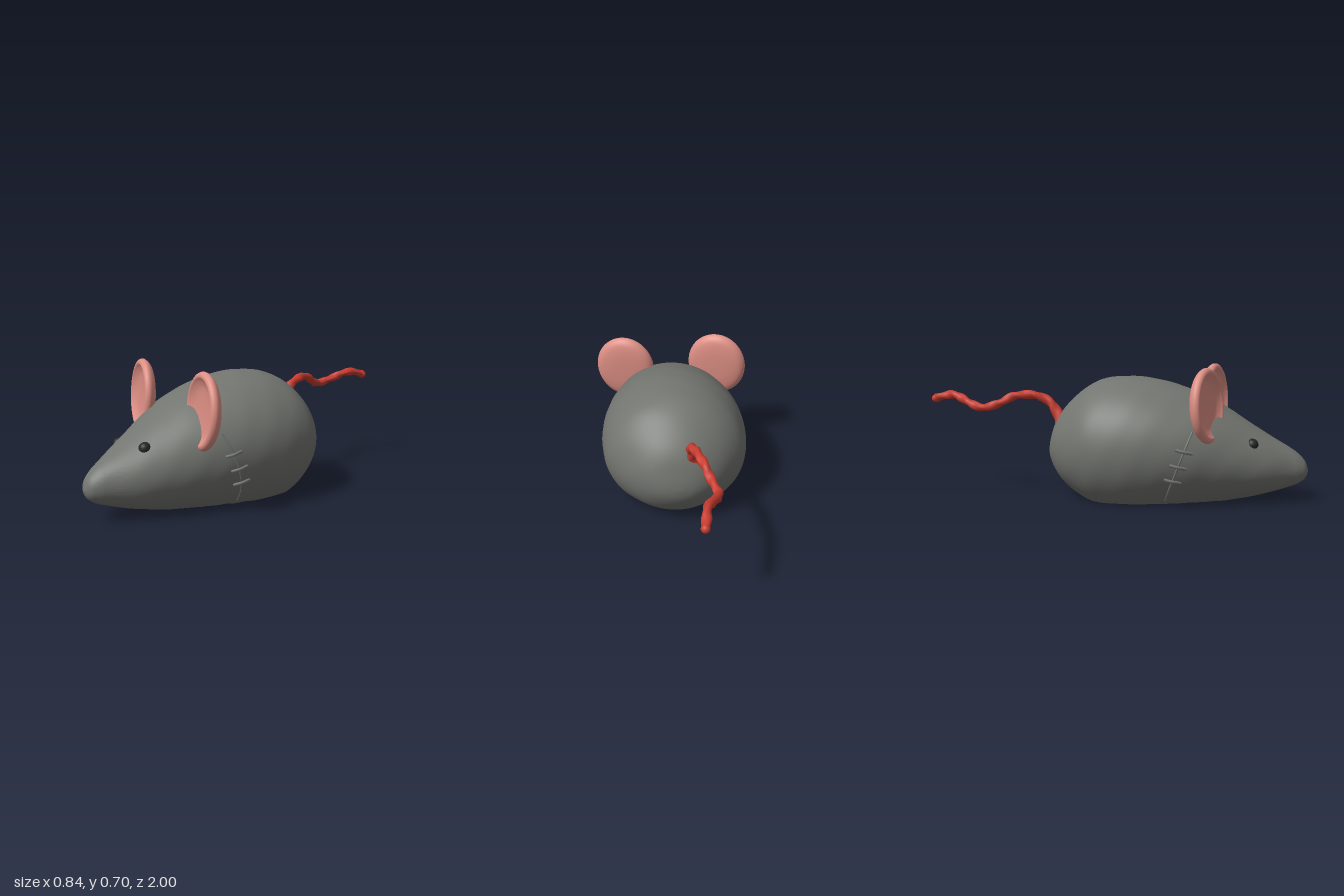
import * as THREE from 'three';
import { toCreasedNormals } from 'three/addons/utils/BufferGeometryUtils.js';

const V3 = (x, y, z) => new THREE.Vector3(x, y, z);
const material = (name, color) => {
  const m = new THREE.MeshStandardMaterial({ color });
  m.name = name;
  return m;
};

// Body stations from nose to rump: z, top, bottom (cut flat at the floor), half width
const STATIONS = [
  [1.0, 0.157, 0.157, 0], [0.985, 0.205, 0.12, 0.04], [0.95, 0.245, 0.092, 0.07],
  [0.9, 0.28, 0.072, 0.1], [0.8, 0.338, 0.04, 0.165], [0.7, 0.4, 0.015, 0.215],
  [0.6, 0.465, -0.005, 0.26], [0.5, 0.525, -0.02, 0.302], [0.4, 0.567, -0.035, 0.338],
  [0.25, 0.612, -0.06, 0.373], [0.1, 0.632, -0.08, 0.389], [-0.05, 0.62, -0.07, 0.375],
  [-0.15, 0.575, -0.02, 0.335], [-0.25, 0.487, 0.045, 0.25], [-0.31, 0.405, 0.115, 0.17],
  [-0.345, 0.305, 0.18, 0.085], [-0.356, 0.238, 0.238, 0],
];
const [topLine, bottomLine, widthLine] = [1, 2, 3].map(
  (k) => new THREE.SplineCurve(STATIONS.map((s) => new THREE.Vector2(s[0], s[k]))));

function section(t) {
  const top = topLine.getPoint(t), bottom = bottomLine.getPoint(t).y;
  return { z: top.x, mid: (top.y + bottom) / 2, half: (top.y - bottom) / 2, width: widthLine.getPoint(t).y };
}

// Point on the flank of the body at a given z and height
function flank(side, y, z) {
  let lo = 0, hi = 1;
  for (let i = 0; i < 30; i++) {
    const m = (lo + hi) / 2;
    if (section(m).z > z) lo = m; else hi = m;
  }
  const s = section(lo);
  const k = THREE.MathUtils.clamp((y - s.mid) / s.half, -1, 1);
  return V3(side * s.width * Math.sqrt(1 - k * k), y, z);
}

function bodyGeometry() {
  const rings = 96, sides = 96, pos = [], index = [];
  for (let i = 0; i <= rings; i++) {
    const s = section(i / rings);
    for (let j = 0; j < sides; j++) {
      const a = (j / sides) * Math.PI * 2;
      // Gentle lumps of stuffed cloth
      const lump = 1 + 0.004 * Math.sin(a * 5 + s.z * 17) * Math.sin(s.z * 23 + a * 2);
      pos.push(s.width * lump * Math.cos(a), Math.max(0, s.mid + s.half * lump * Math.sin(a)), s.z);
    }
  }
  for (let i = 0; i < rings; i++) {
    for (let j = 0; j < sides; j++) {
      const a = i * sides + j, b = i * sides + (j + 1) % sides;
      index.push(a, a + sides, b, b, a + sides, b + sides);
    }
  }
  const g = new THREE.BufferGeometry();
  g.setAttribute('position', new THREE.Float32BufferAttribute(pos, 3));
  g.setIndex(index);
  return toCreasedNormals(g, 0.5);
}

// Dished round ear facing +z, unit radius
function earGeometry() {
  const profile = new THREE.SplineCurve([
    [0, -0.22], [0.5, -0.2], [0.85, -0.12], [1, 0.04], [0.98, 0.17],
    [0.88, 0.22], [0.77, 0.15], [0.6, 0.08], [0.3, 0.05], [0, 0.04],
  ].map((p) => new THREE.Vector2(...p))).getPoints(45);
  profile[0].x = profile[45].x = 0;
  return new THREE.LatheGeometry(profile, 56).rotateX(Math.PI / 2);
}

// Tapering, uneven yarn tube
function tailGeometry(curve) {
  const rings = 90, sides = 12;
  const g = new THREE.TubeGeometry(curve, rings, 1, sides, false);
  const p = g.attributes.position, v = V3();
  for (let i = 0; i <= rings; i++) {
    const t = i / rings, c = curve.getPointAt(t);
    for (let j = 0; j <= sides; j++) {
      const a = (j / sides) * Math.PI * 2;
      const r = 0.021 + 0.014 * Math.exp(-t * 9) + 0.003 * Math.sin(a * 2 + t * 55);
      const n = i * (sides + 1) + j;
      v.fromBufferAttribute(p, n).sub(c).multiplyScalar(r).add(c);
      p.setXYZ(n, v.x, v.y, v.z);
    }
  }
  g.computeVertexNormals();
  return g;
}

export function createModel() {
  const grey = material('greyFelt', 0x737570);
  const pink = material('pinkFelt', 0xdd8f84);
  const red = material('redYarn', 0xc83c30);
  const black = material('blackBead', 0x262626);

  const model = new THREE.Group();
  model.name = 'toyMouse';
  const add = (name, geometry, mat, parent = model) => {
    const mesh = new THREE.Mesh(geometry, mat);
    mesh.name = name;
    parent.add(mesh);
    return mesh;
  };

  add('body', bodyGeometry(), grey);

  // Ears, both turned the same way
  const earShape = earGeometry();
  for (const [name, x, y, z, turn] of [
    ['leftEar', 0.258, 0.5, 0.495, -0.27], ['rightEar', -0.261, 0.512, 0.485, -0.34]]) {
    const ear = add(name, earShape, pink);
    ear.position.set(x, y, z);
    ear.rotation.set(-0.07, turn, 0);
    ear.scale.set(0.164, 0.184, 0.165);
  }

  // Bead eyes
  const bead = new THREE.SphereGeometry(0.03, 24, 16);
  add('leftEye', bead, black).position.set(0.107, 0.335, 0.735);
  add('rightEye', bead, black).position.set(-0.152, 0.311, 0.715);

  // Sewn seam with cross stitches on each flank
  for (const side of [1, -1]) {
    const seam = new THREE.Group();
    seam.name = side > 0 ? 'leftSeam' : 'rightSeam';
    model.add(seam);
    const seamZ = (y) => 0.28 + 0.38 * y;
    const line = [0.03, 0.09, 0.15, 0.21, 0.27, 0.33, 0.39].map((y) => flank(side, y, seamZ(y)));
    add('seamLine', new THREE.TubeGeometry(new THREE.CatmullRomCurve3(line), 40, 0.005, 6), grey, seam);
    for (const y of [0.145, 0.22, 0.295]) {
      const stitch = [-0.04, 0, 0.04].map((d) => flank(side, y - d * 0.25, seamZ(y) + d));
      stitch[1].x += side * 0.008;
      add('stitch', new THREE.TubeGeometry(new THREE.CatmullRomCurve3(stitch), 12, 0.008, 8), grey, seam);
    }
  }

  // Wavy yarn tail
  const path = new THREE.CatmullRomCurve3([
    V3(-0.075, 0.37, -0.28), V3(-0.07, 0.43, -0.3), V3(-0.06, 0.495, -0.35), V3(-0.075, 0.53, -0.43),
    V3(-0.105, 0.525, -0.53), V3(-0.135, 0.485, -0.61), V3(-0.16, 0.468, -0.69),
    V3(-0.135, 0.492, -0.77), V3(-0.095, 0.525, -0.86), V3(-0.085, 0.52, -0.92), V3(-0.075, 0.502, -0.978),
  ]);
  add('tail', tailGeometry(path), red);
  add('tailTip', new THREE.SphereGeometry(0.0215, 12, 10), red).position.copy(path.getPoint(1));
  add('tailRoot', new THREE.SphereGeometry(0.036, 14, 10), red).position.copy(path.getPoint(0));

  return model;
}
